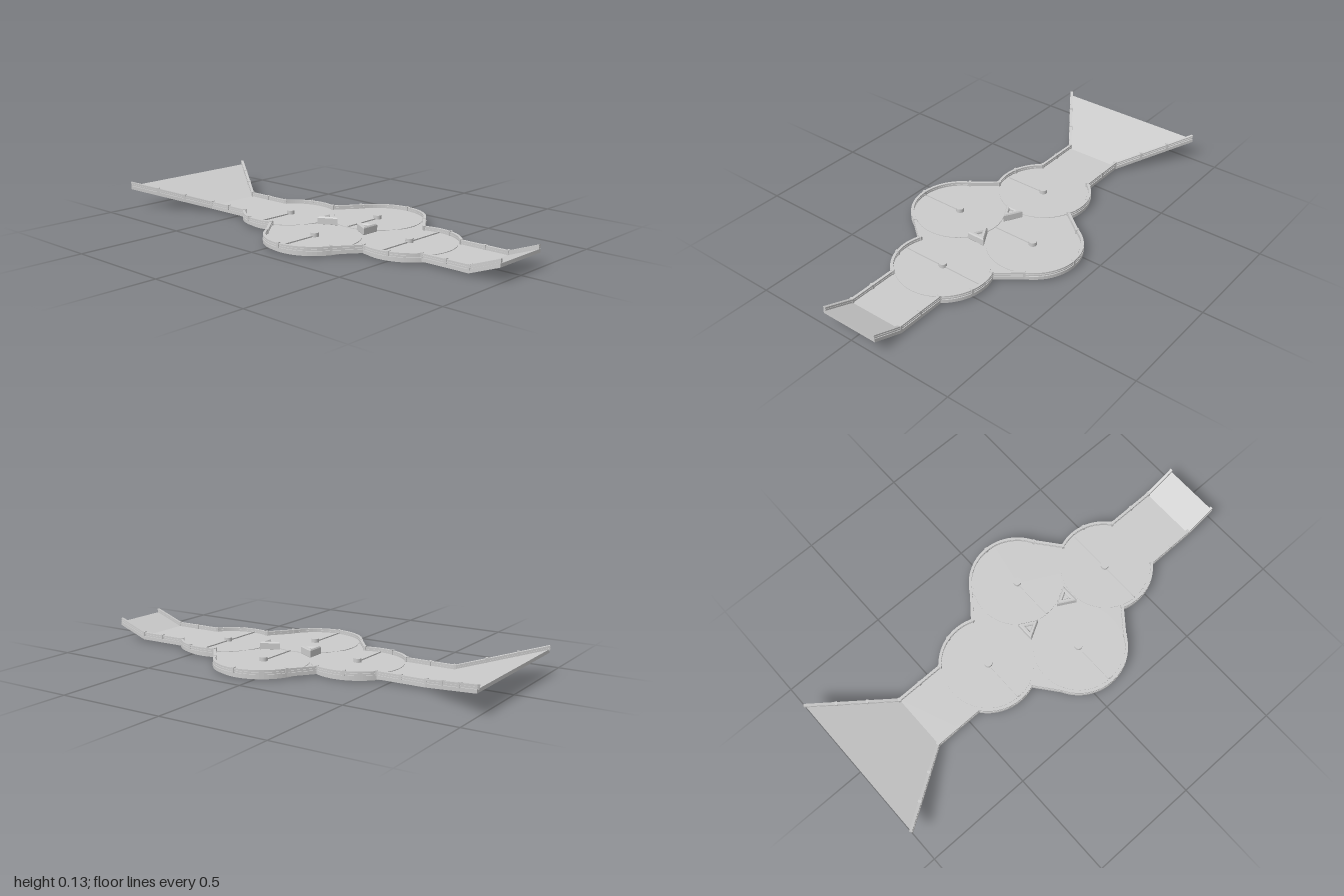
import * as THREE from 'three';

const mat = new THREE.MeshStandardMaterial({ color: 0xcccccc });
const DECK = 0.026, THICK = 0.016, R = 0.224, MID = 0.09, GAP = 0.357, SIDE = 0.208;

// Closed solid through rings of points, each counterclockwise seen from +z
function loft(rings) {
  const pos = [], n = rings[0].length;
  const tri = (...pts) => pts.forEach(p => pos.push(p.x, p.y, p.z));
  for (let k = 0; k < rings.length - 1; k++) {
    const a = rings[k], b = rings[k + 1];
    for (let i = 0; i < n; i++) {
      const j = (i + 1) % n;
      tri(a[i], a[j], b[j]);
      tri(a[i], b[j], b[i]);
    }
  }
  const first = rings[0], last = rings[rings.length - 1];
  for (let i = 1; i < n - 1; i++) {
    tri(first[0], first[i + 1], first[i]);
    tri(last[0], last[i], last[i + 1]);
  }
  const g = new THREE.BufferGeometry();
  g.setAttribute('position', new THREE.Float32BufferAttribute(pos, 3));
  g.computeVertexNormals();
  return g;
}

// Edge of the deck on the +x side, from the rear funnel to the front ramp
function edgePath() {
  const pts = [], posts = [];
  const add = (x, y, z, post) => {
    if (post) posts.push(pts.length);
    pts.push(new THREE.Vector3(x, y, z));
  };
  const arc = (cx, cz, a0, a1) => {
    const steps = 24;
    for (let i = 0; i <= steps; i++) {
      const a = a0 + (a1 - a0) * i / steps;
      add(cx + R * Math.cos(a), DECK, cz + R * Math.sin(a), i % 12 === 0);
    }
  };
  const start = Math.acos(0.14 / R);
  for (let i = 0; i <= 3; i++) {
    const t = i / 3;
    add(0.369 + (0.14 - 0.369) * t, 0.11 + (DECK - 0.11) * t, -1 + 0.33 * t, i > 0);
  }
  add(0.14, DECK, -0.555, true);
  arc(0, MID - GAP, -start, 0.35);
  arc(SIDE, MID, -1.08, 1.08);
  arc(0, MID + GAP, -0.35, start);
  add(0.14, DECK, 0.74, true);
  add(0.14, DECK, 0.855, true);
  add(0.14, 0.08, 1, false);
  return { pts, posts };
}

// Outward mitred normals of the path in the ground plane
function outward(pts) {
  const seg = i => {
    const a = pts[i], b = pts[i + 1];
    return new THREE.Vector3(b.z - a.z, 0, a.x - b.x).normalize();
  };
  return pts.map((p, i) => {
    const a = seg(Math.max(i - 1, 0)), b = seg(Math.min(i, pts.length - 2));
    const m = a.clone().add(b).normalize();
    return m.divideScalar(m.dot(a));
  });
}

export function createModel() {
  const model = new THREE.Group();
  const body = new THREE.Group();
  body.name = 'track';
  body.position.x = -0.005;
  model.add(body);
  const part = (name, geometry, x = 0, y = 0, z = 0, parent = body) => {
    const m = new THREE.Mesh(geometry, mat);
    m.name = name;
    m.position.set(x, y, z);
    parent.add(m);
    return m;
  };

  const { pts, posts } = edgePath();
  const normals = outward(pts);

  // Deck slab with both sloping ends
  part('deck', loft(pts.map(({ x, y, z }) => [
    new THREE.Vector3(-x, y - THICK, z), new THREE.Vector3(x, y - THICK, z),
    new THREE.Vector3(x, y, z), new THREE.Vector3(-x, y, z)])));

  // Guard rails: thin wall with two thicker beams, and posts
  const sweep = (s, o0, o1, y0, y1) => loft(pts.map((p, i) => {
    const ring = [[o0, y0], [o1, y0], [o1, y1], [o0, y1]].map(([o, h]) =>
      new THREE.Vector3(s * (p.x + normals[i].x * o), p.y + h, p.z + normals[i].z * o));
    return s < 0 ? ring.reverse() : ring;
  }));
  for (const s of [1, -1]) {
    const rail = new THREE.Group();
    rail.name = s > 0 ? 'leftGuardRail' : 'rightGuardRail';
    body.add(rail);
    part('railWall', sweep(s, -0.011, -0.005, -0.002, 0.018), 0, 0, 0, rail);
    part('upperBeam', sweep(s, -0.013, -0.001, 0.012, 0.019), 0, 0, 0, rail);
    part('lowerBeam', sweep(s, -0.013, -0.001, 0.003, 0.009), 0, 0, 0, rail);
    for (const i of posts) {
      const p = pts[i], n = normals[i];
      const post = part('railPost', new THREE.BoxGeometry(0.016, 0.024, 0.011),
        s * (p.x - n.x * 0.007), p.y + 0.01, p.z - n.z * 0.007, rail);
      post.rotation.y = Math.atan2(-n.z, s * n.x);
    }
  }

  // Turntables with a centre pin and a low bar on one or both sides
  const tables = [
    ['rearTurntable', 0, MID - GAP, [-1]],
    ['rightTurntable', -SIDE, MID, [-1]],
    ['leftTurntable', SIDE, MID, [-1]],
    ['frontTurntable', 0, MID + GAP, [-1, 1]],
  ];
  for (const [name, x, z, sides] of tables) {
    const table = new THREE.Group();
    table.name = name;
    table.position.set(x, 0, z);
    body.add(table);
    part('disc', new THREE.CylinderGeometry(0.205, 0.205, 0.029, 64), 0, 0.0145, 0, table);
    part('pin', new THREE.CylinderGeometry(0.018, 0.018, 0.02, 24), 0, 0.037, 0, table);
    for (const s of sides)
      part('bar', new THREE.BoxGeometry(0.185, 0.007, 0.008), s * 0.11, 0.031, 0, table);
  }

  // Triangular islands between the turntables, with a recessed top
  const triangle = (Type, k) => {
    const t = new Type();
    t.moveTo(-0.045 * k, -0.028 * k);
    t.lineTo(0.045 * k, -0.028 * k);
    t.lineTo(0, 0.053 * k);
    t.closePath();
    return t;
  };
  const ring = triangle(THREE.Shape, 0.86);
  ring.holes.push(triangle(THREE.Path, 0.5));
  const ringGeo = new THREE.ExtrudeGeometry(ring, {
    depth: 0.028, bevelThickness: 0.006, bevelSize: 0.005, bevelSegments: 1,
  }).rotateX(-Math.PI / 2);
  const coreGeo = new THREE.ExtrudeGeometry(triangle(THREE.Shape, 0.55), {
    depth: 0.022, bevelEnabled: false,
  }).rotateX(-Math.PI / 2);
  for (const s of [1, -1]) {
    const island = new THREE.Group();
    island.name = s > 0 ? 'frontIsland' : 'rearIsland';
    island.position.set(0, 0.026, MID + s * 0.111);
    island.rotation.y = s > 0 ? 0 : Math.PI;
    body.add(island);
    part('islandRim', ringGeo, 0, 0.002, 0, island);
    part('islandCore', coreGeo, 0, 0, 0, island);
  }
  return model;
}
